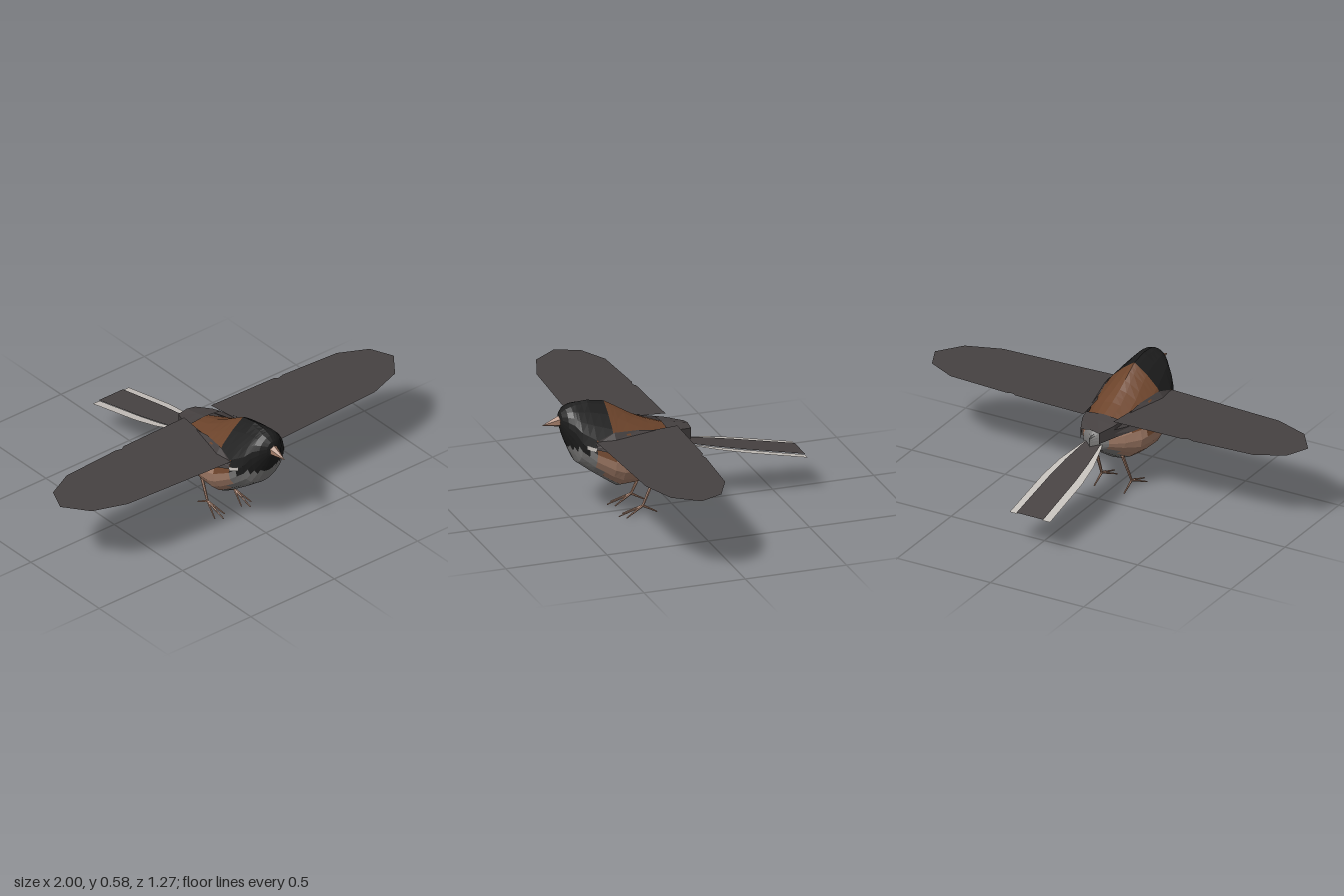
import * as THREE from 'three';

const mat = (name, color, side = THREE.DoubleSide) => {
  const m = new THREE.MeshStandardMaterial({ color, flatShading: true, side });
  m.name = name;
  return m;
};

// Body stations from bill to rump: z, top y, bottom y, half width, y of widest point, upper roundness
const STATIONS = [
  [0.562, 0.505, 0.475, 0.0, 0.49, 1],
  [0.55, 0.535, 0.45, 0.036, 0.49, 1],
  [0.53, 0.556, 0.39, 0.068, 0.475, 1],
  [0.505, 0.567, 0.33, 0.092, 0.455, 1.1],
  [0.48, 0.574, 0.28, 0.125, 0.41, 1.5],
  [0.42, 0.577, 0.235, 0.158, 0.36, 1.9],
  [0.335, 0.562, 0.175, 0.182, 0.32, 1.9],
  [0.29, 0.535, 0.145, 0.185, 0.31, 1.8],
  [0.20, 0.48, 0.152, 0.18, 0.30, 1.4],
  [0.13, 0.445, 0.162, 0.16, 0.29, 1.1],
  [0.05, 0.415, 0.215, 0.115, 0.295, 1],
  [-0.02, 0.39, 0.262, 0.07, 0.31, 1],
  [-0.08, 0.35, 0.28, 0.0, 0.32, 1],
];

// Station values interpolated at any z
function section(z) {
  const last = STATIONS.length - 1;
  let i = 0;
  while (i < last - 1 && STATIONS[i + 1][0] > z) i++;
  const a = STATIONS[i], b = STATIONS[i + 1];
  const k = THREE.MathUtils.clamp((a[0] - z) / (a[0] - b[0]), 0, 1);
  return a.map((v, n) => v + (b[n] - v) * k);
}

function skinPoint(z, t) {
  const [, top, bottom, w, mid, power] = section(z);
  const c = Math.cos(t), s = Math.sin(t);
  const x = Math.sign(s) * w * Math.pow(Math.abs(s), c > 0 ? power : 1);
  return new THREE.Vector3(x, mid + c * (c > 0 ? top - mid : mid - bottom), z);
}

// Half width of the body at a given z and y
function skinX(z, y) {
  const [, top, bottom, w, mid, power] = section(z);
  const up = y > mid;
  const c = Math.min(1, Math.abs(y - mid) / (up ? top - mid : mid - bottom));
  return w * Math.pow(Math.sqrt(1 - c * c), up ? power : 1);
}

// Plumage: 0 hood, 1 back, 2 flank, 3 breast and belly
function plumage({ x, y, z }) {
  if (z > 0.335 && y > 0.435) return 0;
  if (z > 0.42) return y > 0.37 ? 0 : 3;
  if (z > 0.02 && y > 0.365) return 1;
  if (z > 0.1 && z < 0.3 && y > 0.305 + Math.abs(z - 0.19) * 0.4) return 1;
  if (z < -0.02) return 3;
  if (y < 0.27 && Math.abs(x) < 0.075 + Math.max(0, z - 0.2) * 0.3) return 3;
  return 2;
}

function bodyGeometry() {
  const SIDES = 20;
  const zs = [];
  STATIONS.forEach(([z], i) => {
    zs.push(z);
    if (i < STATIONS.length - 1) zs.push((z + STATIONS[i + 1][0]) / 2);
  });
  const rings = zs.map(z => Array.from({ length: SIDES + 1 },
    (_, j) => skinPoint(z, j / SIDES * Math.PI * 2)));
  const buckets = [[], [], [], []];
  for (let i = 0; i < rings.length - 1; i++) {
    for (let j = 0; j < SIDES; j++) {
      const a = rings[i][j], b = rings[i][j + 1], c = rings[i + 1][j], d = rings[i + 1][j + 1];
      const centre = new THREE.Vector3();
      [a, b, c, d].forEach(p => centre.addScaledVector(p, 0.25));
      buckets[plumage(centre)].push(a, b, c, b, d, c);
    }
  }
  const g = new THREE.BufferGeometry().setFromPoints(buckets.flat());
  let start = 0;
  buckets.forEach((b, i) => { g.addGroup(start, b.length, i); start += b.length; });
  g.computeVertexNormals();
  return g;
}

// Open strip surface from rows of equal length
function sheet(rows) {
  const pts = [];
  for (let i = 0; i < rows.length - 1; i++) {
    for (let j = 0; j < rows[i].length - 1; j++) {
      const a = rows[i][j], b = rows[i][j + 1], c = rows[i + 1][j], d = rows[i + 1][j + 1];
      pts.push(a, b, c, b, d, c);
    }
  }
  const g = new THREE.BufferGeometry().setFromPoints(pts);
  g.computeVertexNormals();
  return g;
}

// Horizontal plate from x, z points, facing up (1) or down (-1)
function plate(points, facing, y) {
  const shape = new THREE.Shape(points.map(([x, z]) => new THREE.Vector2(x, -facing * z)));
  return new THREE.ShapeGeometry(shape).rotateX(-facing * Math.PI / 2).translate(0, y, 0);
}

// Tapered rod between two points
function rod(a, b, r0, r1) {
  const from = new THREE.Vector3(...a), dir = new THREE.Vector3(...b).sub(from);
  const g = new THREE.CylinderGeometry(r1, r0, dir.length(), 6);
  g.translate(0, dir.length() / 2, 0);
  g.applyQuaternion(new THREE.Quaternion().setFromUnitVectors(
    new THREE.Vector3(0, 1, 0), dir.clone().normalize()));
  return g.translate(...a);
}

export function createModel() {
  const model = new THREE.Group();
  model.name = 'bird';
  const hood = mat('hoodBlack', 0x1c1c1c), back = mat('backBrown', 0x6e452c);
  const flank = mat('flankPink', 0xa67f6a), breast = mat('breastGrey', 0x7c7b7a);
  const wingGrey = mat('wingGrey', 0x464141);
  const wingUnder = mat('wingUndersideGrey', 0x737373, THREE.FrontSide);
  const tailDark = mat('tailDark', 0x484343), edgePale = mat('tailEdgePale', 0xc4bfba);
  const horn = mat('hornTan', 0xa67f6a);
  const add = (name, geometry, material, parent = model) => {
    const m = new THREE.Mesh(geometry, material);
    m.name = name;
    parent.add(m);
  };

  add('body', bodyGeometry(), [hood, back, flank, breast]);

  // Short pointed bill
  add('bill', rod([0, 0.49, 0.545], [0, 0.477, 0.637], 0.031, 0.001).scale(0.8, 1, 1), horn);

  // Tail slopes down and back; columns are z, inner half width, outer half width
  const tailCols = [[0.0, 0.03, 0.035], [-0.08, 0.045, 0.058], [-0.2, 0.06, 0.09],
    [-0.33, 0.068, 0.105], [-0.635, 0.072, 0.108]];
  const tailPoint = (x, z, drop = 0) => new THREE.Vector3(x, 0.322 + z * 0.213 - drop, z);
  add('tail', sheet(tailCols.map(([z, w]) => [tailPoint(-w, z), tailPoint(w, z)])), tailDark);

  // Folded feathers roofing the rump: z, half width, edge y
  const rump = [[0.05, 0.095, 0.409], [0, 0.086, 0.4], [-0.08, 0.05, 0.385]];
  add('rumpFeathers', sheet(rump.map(([z, w, y]) =>
    [-w, 0, w].map(x => new THREE.Vector3(x, x ? y : y + 0.009, z)))), wingGrey);

  for (const s of [1, -1]) {
    const side = s > 0 ? 'left' : 'right';

    add(side + 'TailEdge', sheet(tailCols.map(([z, w, o]) =>
      [tailPoint(s * (w - 0.004), z, 0.005), tailPoint(s * o, z, 0.005)])), edgePale);

    // Flat spread wing with a lighter underside
    const outline = [[0.08, 0.0], [0.45, 0.008], [0.47, 0.02], [0.5, 0.012], [0.81, 0.03],
      [0.95, 0.1], [1, 0.215], [0.91, 0.335], [0.74, 0.395], [0.13, 0.425]]
      .map(([x, z]) => [s * x, z]);
    add(side + 'WingTop', plate(outline, 1, 0.42), wingGrey);
    add(side + 'WingUnderside', plate(outline, -1, 0.417), wingUnder);

    // Shoulder feathers lying along the flank: z, upper y, lower y
    const coverts = [[0.425, 0.42, 0.385], [0.33, 0.45, 0.358], [0.2, 0.435, 0.35],
      [0.1, 0.418, 0.345], [0.0, 0.40, 0.338], [-0.08, 0.385, 0.332]];
    add(side + 'Coverts', sheet(coverts.map(([z, hi, lo]) => [0, 0.33, 0.67, 1].map(k => {
      const y = hi + (lo - hi) * k;
      const x = Math.max(skinX(z, y) + 0.005, Math.min(0.1, 0.05 + (z + 0.08) * 0.45));
      return new THREE.Vector3(s * x, y, z);
    }))), wingGrey);

    // Pale spot at the bend of the wing
    add(side + 'BendSpot', sheet([0.465, 0.445, 0.425].map((z, i) => [0.405 - i * 0.005, 0.385 - i * 0.005]
      .map(y => new THREE.Vector3(s * (skinX(z, y) + 0.006), y, z)))), edgePale);

    // Leg with three front toes and one hind toe
    const leg = new THREE.Group();
    leg.name = side + 'Leg';
    model.add(leg);
    const ankle = [s * 0.08, 0.043, 0.17];
    add('shank', rod([s * 0.072, 0.2, 0.098], ankle, 0.009, 0.006), horn, leg);
    for (const [dx, z] of [[-0.03, 0.26], [0, 0.288], [0.03, 0.26], [0, 0.1]]) {
      add('toe', rod(ankle, [s * 0.08 + dx, 0.004, z], 0.006, 0.003), horn, leg);
    }
  }
  return model;
}
